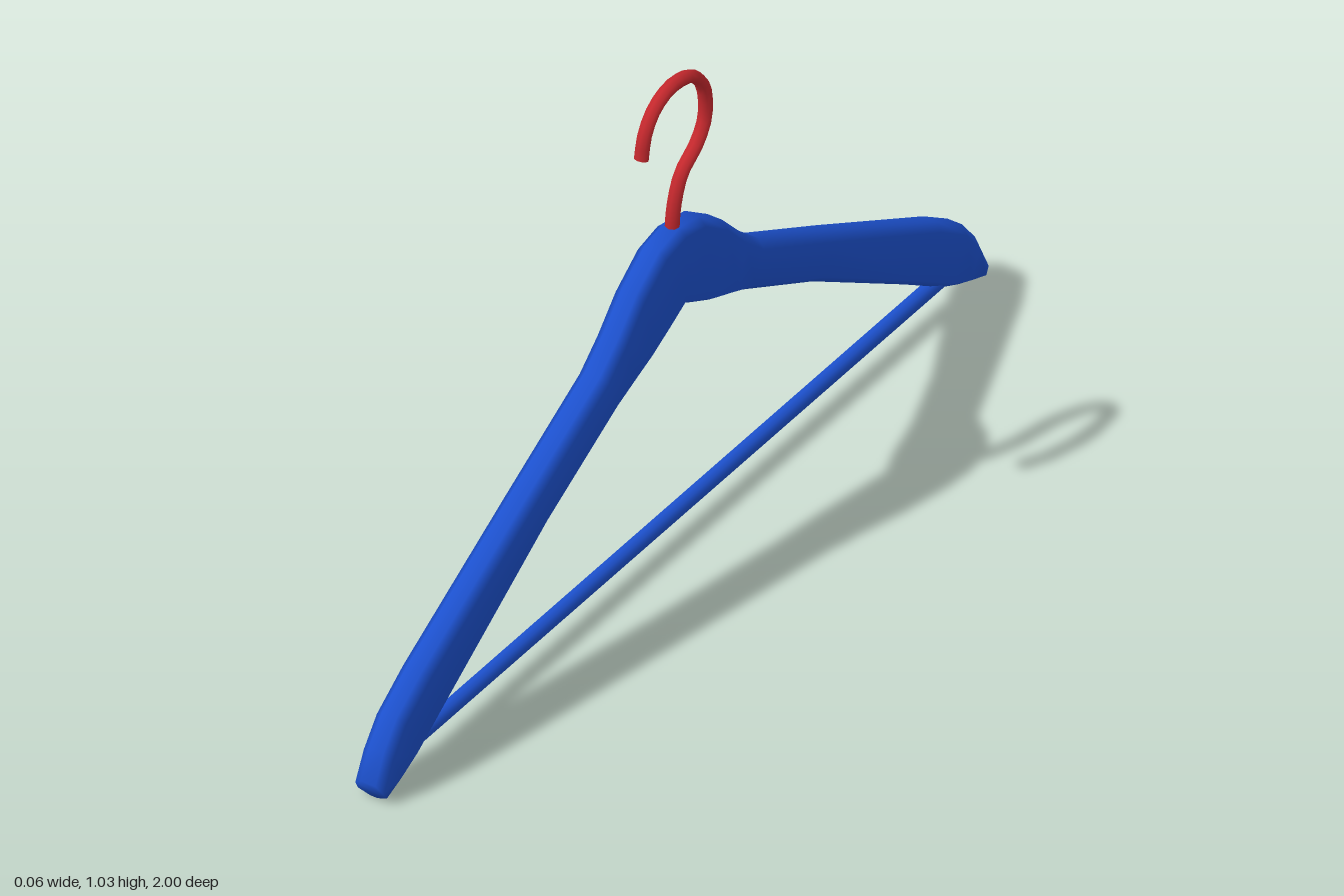
import * as THREE from 'three';

const blue = new THREE.MeshStandardMaterial({ color: 0x1c50cc });
const red = new THREE.MeshStandardMaterial({ color: 0xc4282d });

// Arm stations from the middle to one tip: top z, top y, bottom z, bottom y
const STATIONS = [
  [0, 0.705, 0, 0.532],
  [0.065, 0.692, 0.05, 0.505],
  [0.14, 0.64, 0.11, 0.475],
  [0.2, 0.577, 0.17, 0.452],
  [0.262, 0.525, 0.22, 0.432],
  [0.5, 0.4, 0.45, 0.313],
  [0.85, 0.211, 0.75, 0.127],
  [0.93, 0.158, 0.877, 0.045],
  [0.973, 0.104, 0.93, 0.02],
  [1.0, 0.045, 0.98, 0.004],
];

// Chamfered section, counter-clockwise: half width and side (1 top, -1 bottom),
// with the third number telling whether the point sits below the chamfer
const SECTION = [
  [0.032, -1, 1], [0.032, 1, 1], [0.016, 1, 0], [-0.016, 1, 0],
  [-0.032, 1, 1], [-0.032, -1, 1], [-0.008, -1, 0], [0.008, -1, 0],
];

function shouldersGeometry() {
  const mirrored = STATIONS.slice(1).reverse().map(([a, b, c, d]) => [-a, b, -c, d]);
  const rows = [...mirrored, ...STATIONS];
  const n = SECTION.length;
  const positions = [];
  const index = [];
  rows.forEach(([tz, ty, bz, by], i) => {
    const top = new THREE.Vector3(0, ty, tz);
    const bottom = new THREE.Vector3(0, by, bz);
    const length = top.distanceTo(bottom);
    const inset = Math.min(0.016, length * 0.3) / length;
    SECTION.forEach(([x, side, inner], j) => {
      const from = side > 0 ? top : bottom;
      const to = side > 0 ? bottom : top;
      const p = from.clone().lerp(to, inner * inset);
      positions.push(x, p.y, p.z);
      if (i < rows.length - 1) {
        const a = i * n + j, b = i * n + (j + 1) % n;
        index.push(a, b, b + n, a, b + n, a + n);
      }
    });
  });
  // Close both tips
  const last = (rows.length - 1) * n;
  for (let j = 1; j < n - 1; j++) {
    index.push(0, j + 1, j);
    index.push(last, last + j, last + j + 1);
  }
  const geometry = new THREE.BufferGeometry();
  geometry.setAttribute('position', new THREE.Float32BufferAttribute(positions, 3));
  geometry.setIndex(index);
  geometry.computeVertexNormals();
  return geometry;
}

function createHook() {
  const hook = new THREE.Group();
  hook.name = 'hook';
  const points = [
    [0, 0.68], [-0.002, 0.72], [-0.012, 0.765], [-0.032, 0.805], [-0.08, 0.84],
    [-0.106, 0.878], [-0.11, 0.92], [-0.1, 0.962], [-0.065, 1.002], [-0.02, 1.017],
    [0.02, 1.017], [0.062, 0.998], [0.09, 0.96], [0.101, 0.913],
  ].map(([z, y]) => new THREE.Vector3(0, y, z));
  const curve = new THREE.CatmullRomCurve3(points);
  const wire = new THREE.Mesh(new THREE.TubeGeometry(curve, 26, 0.0125, 8), red);
  wire.name = 'hookWire';
  // Flat end of the wire
  const end = new THREE.Mesh(new THREE.CircleGeometry(0.0125, 8), red);
  end.name = 'hookEnd';
  end.position.copy(curve.getPoint(1));
  end.quaternion.setFromUnitVectors(new THREE.Vector3(0, 0, 1), curve.getTangent(1));
  hook.add(wire, end);
  hook.scale.x = 1.2;
  return hook;
}

export function createModel() {
  const hanger = new THREE.Group();
  hanger.name = 'clothesHanger';

  const shoulders = new THREE.Mesh(shouldersGeometry(), blue);
  shoulders.name = 'shoulders';

  // Trouser bar between the arm tips
  const bar = new THREE.Mesh(new THREE.CylinderGeometry(0.016, 0.016, 1.82, 10), blue);
  bar.name = 'trouserBar';
  bar.rotation.x = Math.PI / 2;
  bar.position.y = 0.056;

  hanger.add(shoulders, bar, createHook());
  return hanger;
}
